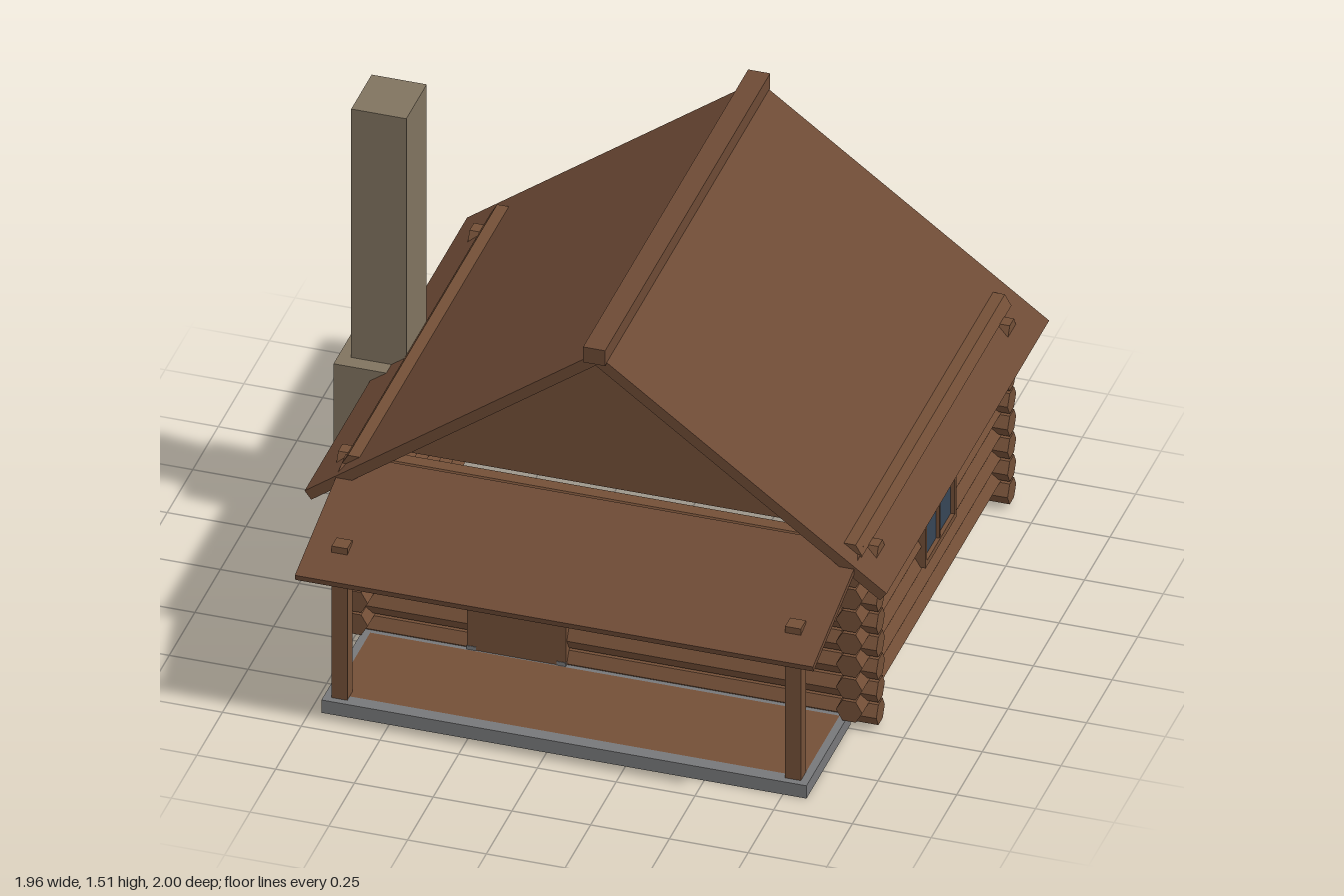
import * as THREE from 'three';

const mat = (name, color) => Object.assign(new THREE.MeshStandardMaterial({ color }), { name });

export function createModel() {
  const cabin = new THREE.Group();
  cabin.name = 'logCabin';
  const wood = mat('wood', 0x734f37);
  const roofWood = mat('roofWood', 0x6d4a35);
  const stone = mat('chimneyStone', 0x80735f);
  const concrete = mat('greyConcrete', 0x77787a);
  const glass = mat('windowGlass', 0x364556);

  const CX = 0.055;                       // middle of the house in x
  const FRONT = 0.455, BACK = -0.83;      // wall centre lines in z
  const HALF = 0.785;                     // side walls sit at CX +- HALF

  const add = (name, geometry, material, parent = cabin) => {
    const mesh = new THREE.Mesh(geometry, material);
    mesh.name = name;
    parent.add(mesh);
    return mesh;
  };
  // box given by its limits on each axis
  const box = (name, x0, x1, y0, y1, z0, z1, material, parent) => {
    const mesh = add(name, new THREE.BoxGeometry(x1 - x0, y1 - y0, z1 - z0), material, parent);
    mesh.position.set((x0 + x1) / 2, (y0 + y1) / 2, (z0 + z1) / 2);
    return mesh;
  };
  // polygon in x/y pushed along z
  const prism = (name, points, z0, z1, material) => {
    const shape = new THREE.Shape(points.map(([x, y]) => new THREE.Vector2(x, y)));
    const geometry = new THREE.ExtrudeGeometry(shape, { depth: z1 - z0, bevelEnabled: false });
    return add(name, geometry.translate(0, 0, z0), material);
  };

  // six-sided log lying along z, flat on top and bottom
  const logGeometry = (length) => {
    const g = new THREE.CylinderGeometry(0.042, 0.042, length, 6).toNonIndexed();
    g.rotateX(Math.PI / 2);
    const p = g.attributes.position;
    // turn the hexagon so that its points are at the sides
    let highest = 0;
    for (let i = 0; i < p.count; i++) highest = Math.max(highest, p.getY(i));
    if (highest > 0.04) g.rotateZ(Math.PI / 6);
    g.computeVertexNormals();
    return g;
  };
  const crossLog = logGeometry(1.715).rotateY(Math.PI / 2);
  const sideLog = logGeometry(1.46);

  // interlocking walls, side logs half a step higher
  for (let i = 0; i < 8; i++) {
    for (const z of [FRONT, BACK])
      add(z > 0 ? 'frontWallLog' : 'backWallLog', crossLog, wood).position.set(CX, 0.05 + i * 0.0815, z);
    for (const s of [-1, 1])
      add(s > 0 ? 'leftWallLog' : 'rightWallLog', sideLog, wood)
        .position.set(CX + s * HALF, 0.088 + i * 0.081, -0.19);
  }

  // gables
  for (const z of [FRONT, BACK])
    prism(z > 0 ? 'frontGable' : 'backGable',
      [[CX - 0.72, 0.69], [CX + 0.72, 0.69], [CX, 1.217]], z - 0.01, z + 0.01, wood);

  // two sloping roof slabs and the ridge beam
  for (const s of [-1, 1]) {
    const profile = [[CX, 1.257], [CX + s * 0.924, 0.577], [CX + s * 0.903, 0.549], [CX, 1.2135]];
    prism(s > 0 ? 'leftRoofSlab' : 'rightRoofSlab', s > 0 ? profile.reverse() : profile, -0.99, 0.6, roofWood);
  }
  box('ridgeBeam', 0.02, 0.09, 1.228, 1.283, -1, 0.615, roofWood);

  // chimney
  box('chimneyBase', -0.985, -0.745, 0, 0.615, -0.345, -0.04, stone);
  box('chimneyStack', -0.945, -0.77, 0.615, 1.51, -0.29, -0.09, stone);

  // porch: grey rim round a timber deck, two posts and a lean-to roof
  box('porchRimFront', -0.715, 0.825, 0, 0.046, 0.865, 0.91, concrete);
  box('porchRimBack', -0.715, 0.825, 0, 0.046, 0.48, 0.51, concrete);
  box('porchRimRight', -0.715, -0.69, 0, 0.046, 0.51, 0.865, concrete);
  box('porchRimLeft', 0.8, 0.825, 0, 0.046, 0.51, 0.865, concrete);
  box('porchDeck', -0.69, 0.8, 0.002, 0.046, 0.51, 0.865, wood);
  for (const x of [-0.665, 0.775])
    box('porchPost', x - 0.025, x + 0.025, 0.04, 0.592, 0.838, 0.888, wood);
  const lean = add('porchRoof', new THREE.BoxGeometry(1.645, 0.02, 0.513), roofWood);
  lean.position.set(0.0525, 0.595, 0.75);
  lean.rotation.x = 0.254;

  // door with grey fittings
  box('door', -0.385, -0.07, 0.045, 0.525, 0.47, 0.505, wood);
  for (const x of [-0.37, -0.085]) {
    box('doorFitting', x - 0.015, x + 0.015, 0.26, 0.315, 0.5, 0.508, concrete);
    for (const y of [0.052, 0.518])
      box('doorCornerFitting', x - 0.015, x + 0.015, y - 0.007, y + 0.007, 0.5, 0.507, concrete);
  }

  // two-pane window, built facing +z
  const makeWindow = (name, x, z, turn) => {
    const g = new THREE.Group();
    g.name = name;
    box('paneBacking', -0.135, 0.135, -0.115, 0.115, -0.035, 0.042, glass, g);
    for (const s of [-1, 1]) {
      box('windowJamb', s * 0.1425 - 0.0075, s * 0.1425 + 0.0075, -0.13, 0.13, -0.04, 0.055, wood, g);
      box('windowRail', -0.135, 0.135, s * 0.12 - 0.01, s * 0.12 + 0.01, -0.04, 0.055, wood, g);
    }
    box('windowMullion', -0.007, 0.007, -0.11, 0.11, -0.04, 0.052, wood, g);
    g.position.set(x, 0.385, z);
    g.rotation.y = turn;
    cabin.add(g);
  };
  makeWindow('frontWindow', 0.415, FRONT, 0);
  makeWindow('backWindow', CX, BACK, Math.PI);
  makeWindow('leftWindow', CX + HALF, -0.19, Math.PI / 2);

  return cabin;
}
